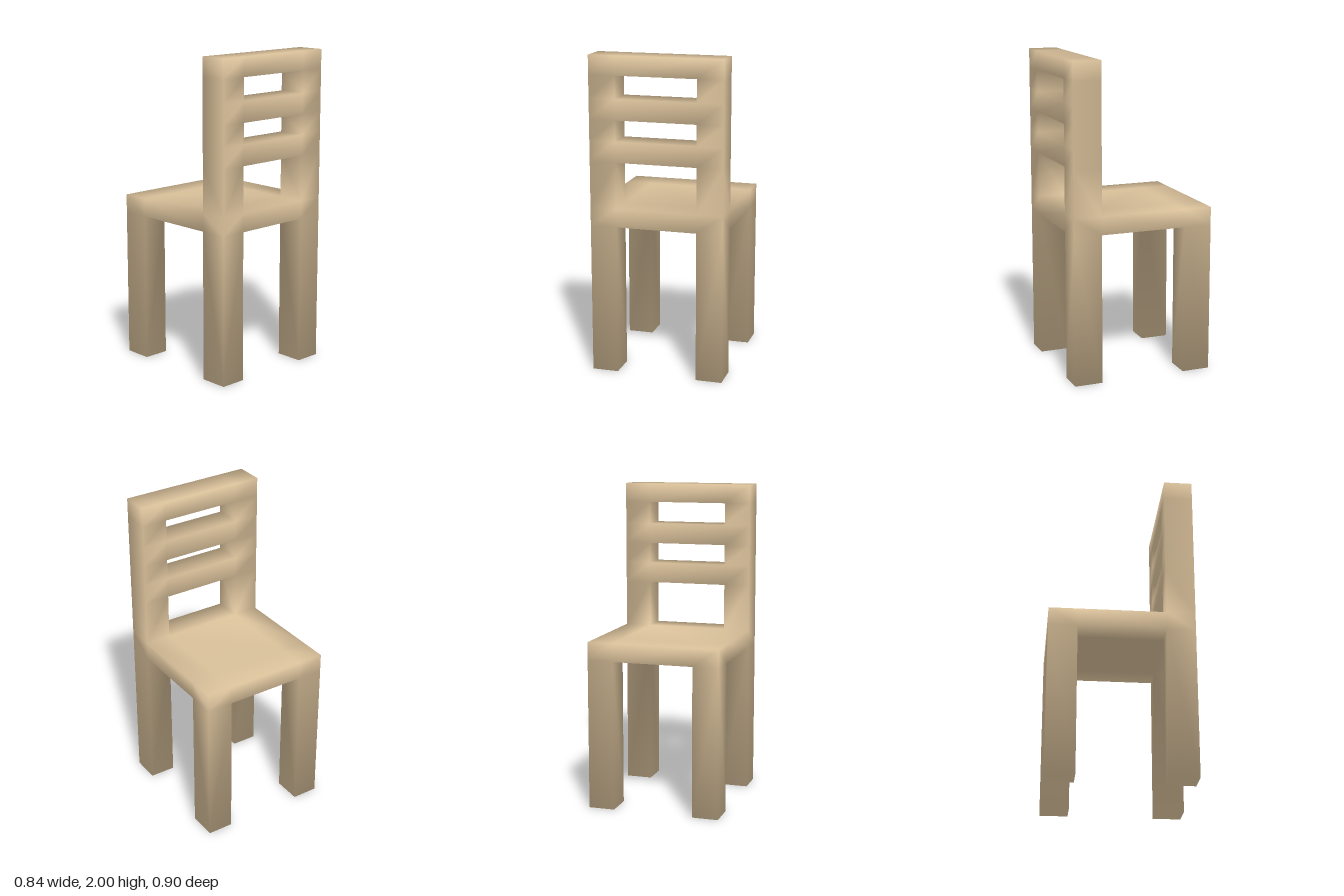
import * as THREE from 'three';

// Shared grid planes of the chair frame: [x, y, z]
const PLANES = [
  [-0.42, -0.255, 0.255, 0.42],
  [0, 0.945, 1.06, 1.35, 1.48, 1.61, 1.74, 1.88, 2],
  [-0.452, -0.273, 0.273, 0.452],
];

// Each part fills a block of grid cells: first and last cell index along x, y, z
function listParts() {
  const parts = [{ name: 'seat', from: [0, 1, 0], to: [2, 1, 2] }];
  for (const [x, side] of [[0, 'Right'], [2, 'Left']]) {
    parts.push({ name: `frontLeg${side}`, from: [x, 0, 0], to: [x, 0, 0] });
    parts.push({ name: `backLeg${side}`, from: [x, 0, 2], to: [x, 0, 2] });
    parts.push({ name: `backPost${side}`, from: [x, 2, 2], to: [x, 7, 2] });
  }
  [['lowerSlat', 3], ['middleSlat', 5], ['topSlat', 7]].forEach(([name, y]) =>
    parts.push({ name, from: [1, y, 2], to: [1, y, 2] }));
  return parts;
}

function cellsOf({ from, to }) {
  const cells = [];
  for (let x = from[0]; x <= to[0]; x++)
    for (let y = from[1]; y <= to[1]; y++)
      for (let z = from[2]; z <= to[2]; z++) cells.push([x, y, z]);
  return cells;
}

// Outer quads of a block, skipping faces covered by a neighbouring cell
function outerQuads(cells, filled) {
  const quads = [];
  for (const cell of cells)
    for (let axis = 0; axis < 3; axis++)
      for (const sign of [-1, 1]) {
        const next = [...cell];
        next[axis] += sign;
        if (filled.has(next.join())) continue;
        const corners = [[0, 0], [1, 0], [1, 1], [0, 1]].map(([u, v]) => {
          const c = [...cell];
          c[axis] += sign > 0 ? 1 : 0;
          c[(axis + 1) % 3] += u;
          c[(axis + 2) % 3] += v;
          return c;
        });
        if (sign < 0) corners.reverse();
        quads.push({ corners, axis, sign });
      }
  return quads;
}

export function createModel() {
  const group = new THREE.Group();
  group.name = 'chair';
  const wood = new THREE.MeshStandardMaterial({ color: 0xd8bf99 });
  wood.name = 'light wood';

  const parts = listParts();
  const filled = new Set(parts.flatMap(cellsOf).map((c) => c.join()));

  // Smooth normals are shared across all parts so that the joints blend
  const normals = new Map();
  for (const part of parts) {
    part.quads = outerQuads(cellsOf(part), filled);
    for (const { corners, axis, sign } of part.quads)
      for (const c of corners) {
        const key = c.join();
        if (!normals.has(key)) normals.set(key, new THREE.Vector3());
        const n = normals.get(key);
        n.setComponent(axis, n.getComponent(axis) + sign);
      }
  }
  normals.forEach((n) => n.normalize());

  for (const { name, quads } of parts) {
    const position = [], normal = [], index = [];
    quads.forEach(({ corners }, q) => {
      for (const c of corners) {
        position.push(...c.map((i, axis) => PLANES[axis][i]));
        normal.push(...normals.get(c.join()).toArray());
      }
      index.push(...[0, 1, 2, 0, 2, 3].map((i) => q * 4 + i));
    });
    const geometry = new THREE.BufferGeometry();
    geometry.setAttribute('position', new THREE.Float32BufferAttribute(position, 3));
    geometry.setAttribute('normal', new THREE.Float32BufferAttribute(normal, 3));
    geometry.setIndex(index);
    const mesh = new THREE.Mesh(geometry, wood);
    mesh.name = name;
    group.add(mesh);
  }
  return group;
}
